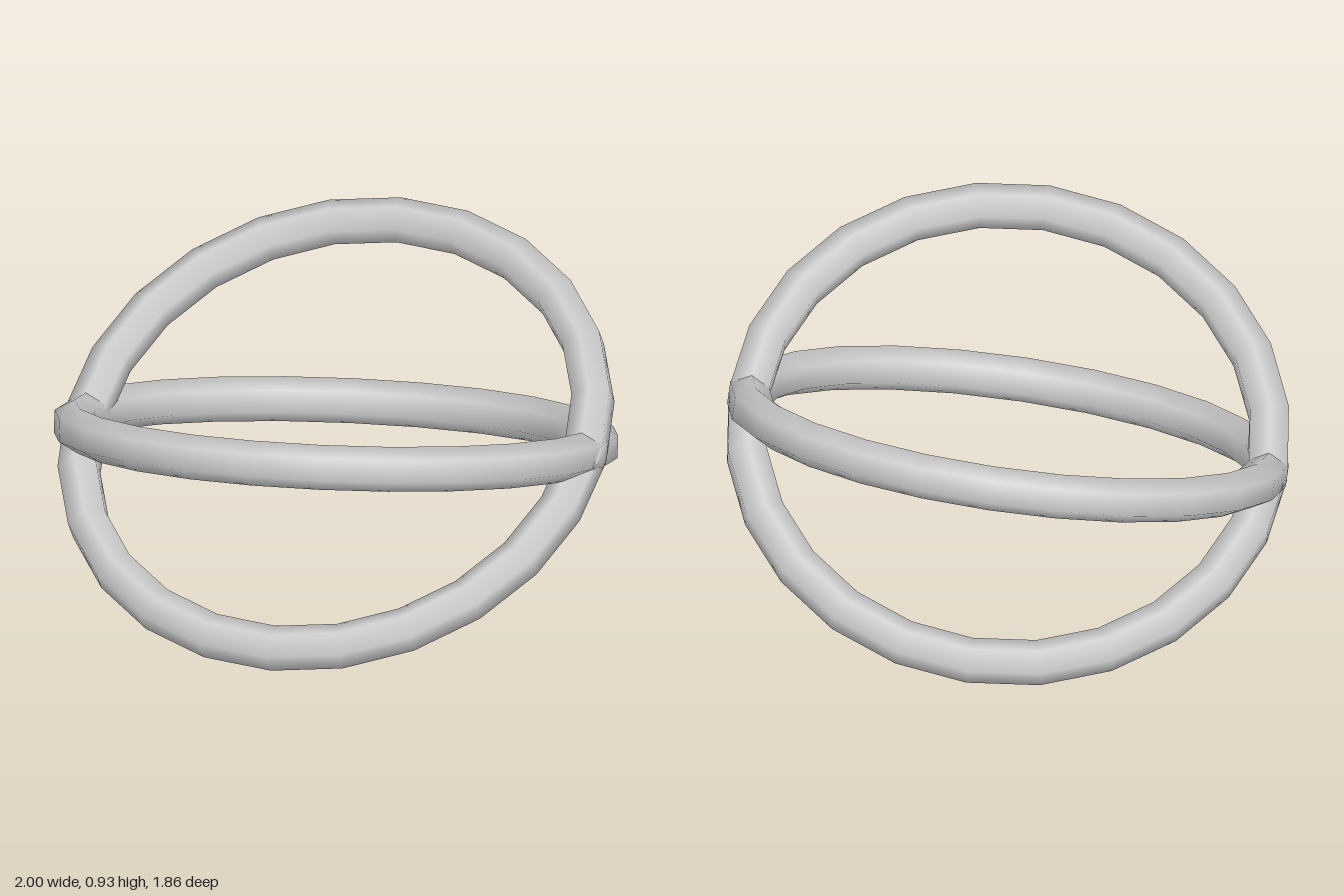
import * as THREE from 'three';
import { mergeVertices } from 'three/addons/utils/BufferGeometryUtils.js';

const RING_RADIUS = 0.93, TUBE_RADIUS = 0.08, SIDES = 6, SEGMENTS = 24;

// Ring with a hexagonal tube whose flat faces point outward and inward
function ringGeometry() {
  const profile = [];
  for (let i = 0; i <= SIDES; i++) {
    const a = ((i % SIDES) + 0.5) / SIDES * Math.PI * 2;
    profile.push(new THREE.Vector2(RING_RADIUS + TUBE_RADIUS * Math.cos(a), TUBE_RADIUS * Math.sin(a)));
  }
  const lathe = new THREE.LatheGeometry(profile, SEGMENTS);
  // Weld the seams so the shading is smooth all round
  lathe.deleteAttribute('uv');
  lathe.deleteAttribute('normal');
  const geometry = mergeVertices(lathe, 1e-4);
  geometry.computeVertexNormals();
  return geometry;
}

export function createModel() {
  const model = new THREE.Group();
  model.name = 'crossedRings';
  const grey = new THREE.MeshStandardMaterial({ color: 0xcccccc });
  grey.name = 'light grey';

  // Two rings crossing along a shared, slightly raised axis
  const pair = new THREE.Group();
  pair.name = 'ringPair';
  pair.position.y = 0.463;
  pair.rotation.z = 0.1;
  const geometry = ringGeometry();
  for (const [name, side] of [['frontLowRing', 1], ['frontHighRing', -1]]) {
    const ring = new THREE.Mesh(geometry, grey);
    ring.name = name;
    ring.rotation.x = side * THREE.MathUtils.degToRad(24.2);
    pair.add(ring);
  }
  model.add(pair);
  return model;
}
